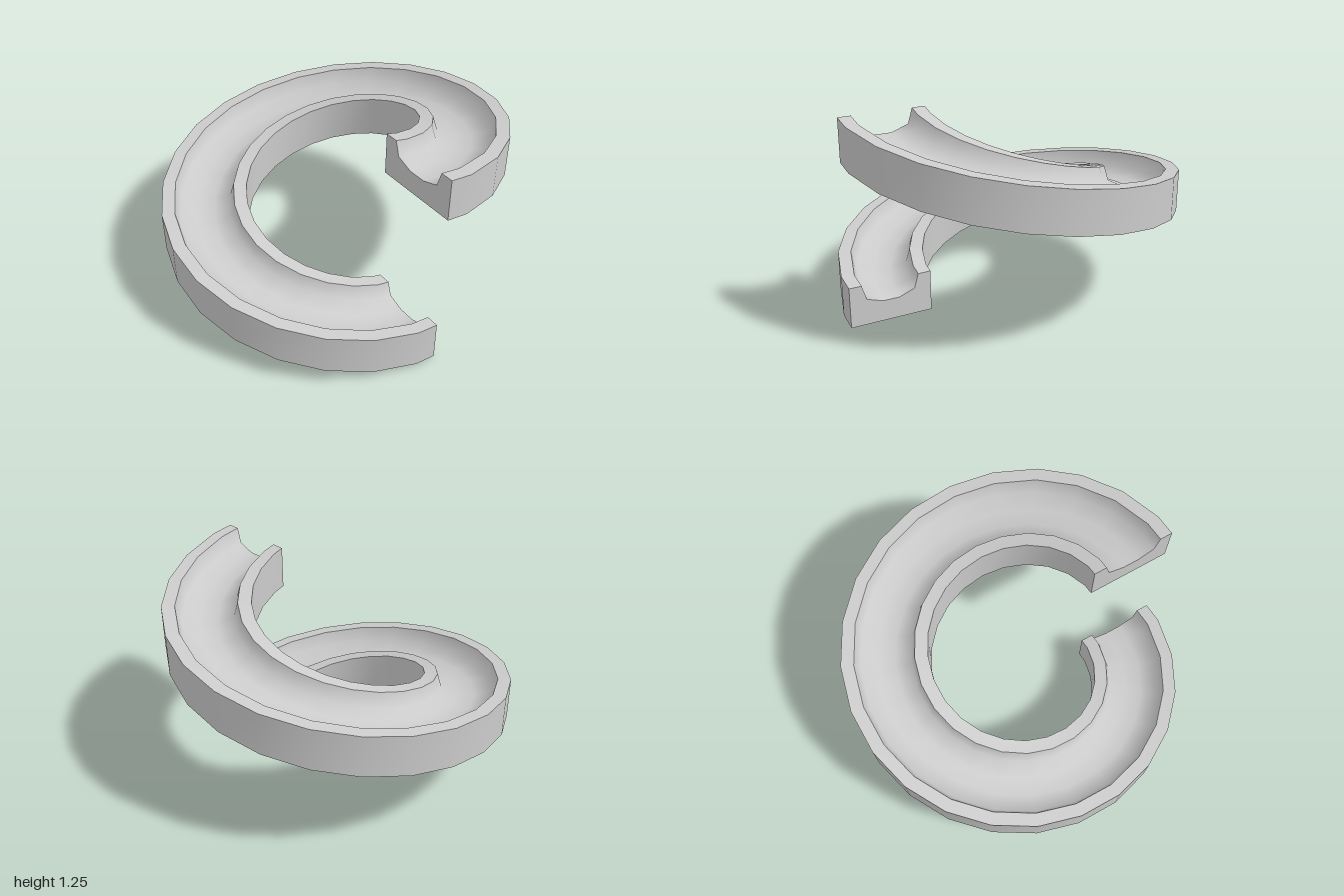
import * as THREE from 'three';
import { toCreasedNormals } from 'three/addons/utils/BufferGeometryUtils.js';

export function createModel() {
  const group = new THREE.Group();
  group.name = 'spiralSlide';

  // Cross-section (radius, height): a block with a rounded channel in its top
  const profile = [
    [0.5, 0], [1, 0], [1, 0.25], [0.925, 0.25], [0.898, 0.16], [0.8, 0.127],
    [0.7, 0.127], [0.603, 0.163], [0.577, 0.25], [0.5, 0.25],
  ];
  const shape = new THREE.Shape(profile.map(([r, y]) => new THREE.Vector2(r, y)));

  // Sides of a full turn; the first and last are half sides, cut at x = 0
  const sides = 24;
  const steps = sides + 1;
  const rise = 1;
  const step = (2 * Math.PI) / sides;
  const geometry = new THREE.ExtrudeGeometry(shape, { depth: steps, steps, bevelEnabled: false });

  // Bend the straight channel into one turn of a rising helix
  const pos = geometry.attributes.position;
  for (let i = 0; i < pos.count; i++) {
    const k = Math.round(pos.getZ(i));
    const isEnd = k === 0 || k === steps;
    const angle = k === 0 ? 0 : k === steps ? 2 * Math.PI : (k - 0.5) * step;
    const r = pos.getX(i) / (isEnd ? 1 : Math.cos(step / 2));
    const y = pos.getY(i) + (rise * angle) / (2 * Math.PI);
    pos.setXYZ(i, -r * Math.sin(angle), y, r * Math.cos(angle));
  }

  // Smooth along the turn and in the channel, sharp at lips and corners
  const channel = new THREE.Mesh(
    toCreasedNormals(geometry, 1.08),
    new THREE.MeshStandardMaterial({ color: 0xcccccc })
  );
  channel.name = 'helicalChannel';
  group.add(channel);
  return group;
}
